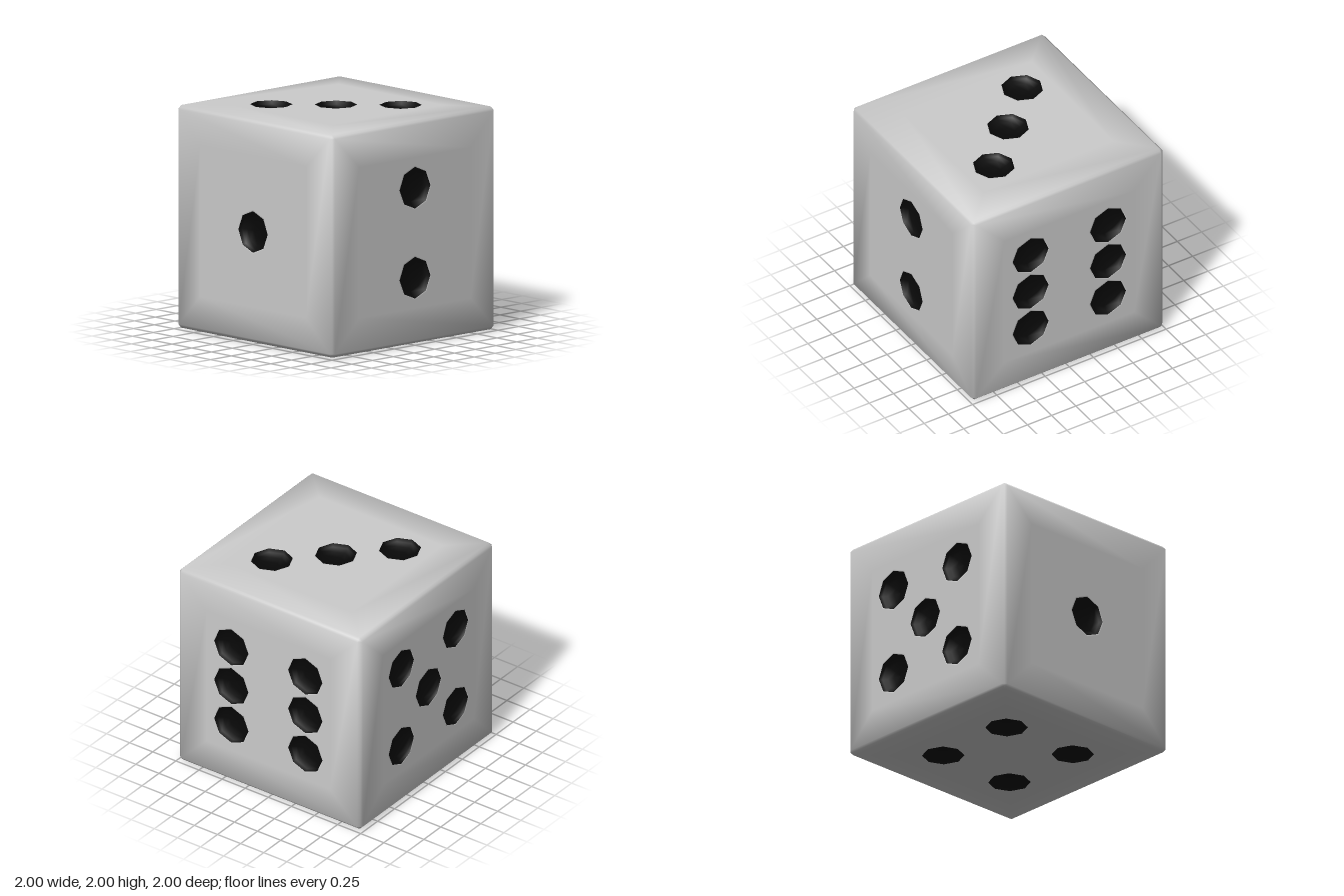
import * as THREE from 'three';

const FLAT = 0.67;    // half size of the flat middle of a side
const EDGE = 0.955;   // half size of a side up to its chamfer
const DROP = 0.99;    // height of a side at its chamfer
const MID = (EDGE + DROP) / 2;          // middle line of a chamfer
const TIP = (2 * EDGE + DROP) / 3;      // middle of a cut corner
const PIP = 0.185, COLLAR = 0.198, DEPTH = 0.08;

const octagon = (x, y, r) => Array.from({ length: 8 }, (_, i) =>
  new THREE.Vector2(x + r * Math.cos(i * Math.PI / 4), y + r * Math.sin(i * Math.PI / 4)));

// One side of the die facing +z, with octagonal openings for the pips
function sideGeometry(pips) {
  const positions = [], normals = [];
  const up = [0, 0, 1];
  const vertex = (p, n) => {
    positions.push(...p);
    normals.push(...new THREE.Vector3(...n).normalize().toArray());
  };
  const tri = (...corners) => corners.forEach(([p, n]) => vertex(p, n));
  const quad = (a, b, c, d) => { tri(a, b, c); tri(a, c, d); };

  // flat middle
  const outline = [[-1, -1], [1, -1], [1, 1], [-1, 1]]
    .map(([x, y]) => new THREE.Vector2(x * FLAT, y * FLAT));
  const holes = pips.map(([x, y]) => octagon(x, y, COLLAR));
  const points = [outline, ...holes].flat();
  for (const face of THREE.ShapeUtils.triangulateShape(outline, holes)) {
    const [a, b, c] = face.map((i) => points[i]);
    const ccw = (b.x - a.x) * (c.y - a.y) - (b.y - a.y) * (c.x - a.x) > 0;
    tri(...(ccw ? [a, b, c] : [a, c, b]).map((p) => [[p.x, p.y, 1], up]));
  }

  // softened collar round every pip
  for (const [x, y] of pips) {
    const inner = octagon(x, y, PIP), outer = octagon(x, y, COLLAR);
    const rim = (i) => [[inner[i].x, inner[i].y, 1],
      [(x - inner[i].x) * 2, (y - inner[i].y) * 2, 1]];
    const out = (i) => [[outer[i].x, outer[i].y, 1], up];
    for (let i = 0; i < 8; i++) {
      const j = (i + 1) % 8;
      quad(rim(i), out(i), out(j), rim(j));
    }
  }

  // sloping border, half chamfers and corner cuts, turned to all four edges
  for (let k = 0; k < 4; k++) {
    const c = [1, 0, -1, 0][k], s = [0, 1, 0, -1][k];
    const turn = ([x, y, z]) => [x * c - y * s, x * s + y * c, z];
    const v = (p, n) => [turn(p), turn(n)];
    const flat = (t) => v([FLAT, t * FLAT, 1], up);
    const edge = (t) => v([EDGE, t * EDGE, DROP], [0.4, t * 0.4, 1]);
    const mid = (t) => v([MID, t * EDGE, MID], [1, t * 0.5, 1]);
    const tip = v([TIP, TIP, TIP], [1, 1, 1]);
    quad(flat(-1), edge(-1), edge(1), flat(1));
    quad(edge(-1), mid(-1), mid(1), edge(1));
    tri(edge(1), mid(1), tip);
    tri(edge(1), tip, v([EDGE, MID, MID], [0.5, 1, 1]));
  }

  const geometry = new THREE.BufferGeometry();
  geometry.setAttribute('position', new THREE.Float32BufferAttribute(positions, 3));
  geometry.setAttribute('normal', new THREE.Float32BufferAttribute(normals, 3));
  return geometry;
}

export function createModel() {
  const die = new THREE.Group();
  die.name = 'die';
  const bodyMaterial = new THREE.MeshStandardMaterial({ color: 0xcccccc });
  const pipMaterial = new THREE.MeshStandardMaterial({ color: 0x080808, side: THREE.DoubleSide });

  // shallow eight-sided dish
  const profile = [0, 0.25, 0.5, 0.75, 1].map((t) => new THREE.Vector2(
    PIP * Math.cos(t * Math.PI / 2), -DEPTH * Math.sin(t * Math.PI / 2)));
  const dish = new THREE.LatheGeometry(profile, 8).rotateX(Math.PI / 2);

  // pip layouts
  const d = 0.4;
  const one = [[0, 0]];
  const two = [[0, d], [0, -d]];
  const three = [[-d, -d], [0, 0], [d, d]];
  const four = [[-d, -d], [d, -d], [d, d], [-d, d]];
  const five = [...four, ...one];
  const six = [...four, [-d, 0], [d, 0]];

  const q = Math.PI / 2;
  const sides = [
    ['front', one, 0, 0], ['rightHandSide', two, 0, q], ['back', six, 0, 2 * q],
    ['leftHandSide', five, 0, -q], ['top', three, -q, 0], ['bottom', four, q, 0],
  ];
  for (const [name, pips, rx, ry] of sides) {
    const side = new THREE.Group();
    side.name = name;
    side.position.y = 1;
    side.rotation.set(rx, ry, 0);
    const panel = new THREE.Mesh(sideGeometry(pips), bodyMaterial);
    panel.name = 'panel';
    side.add(panel);
    for (const [x, y] of pips) {
      const pip = new THREE.Mesh(dish, pipMaterial);
      pip.name = 'pip';
      pip.position.set(x, y, 1);
      side.add(pip);
    }
    die.add(side);
  }
  return die;
}
